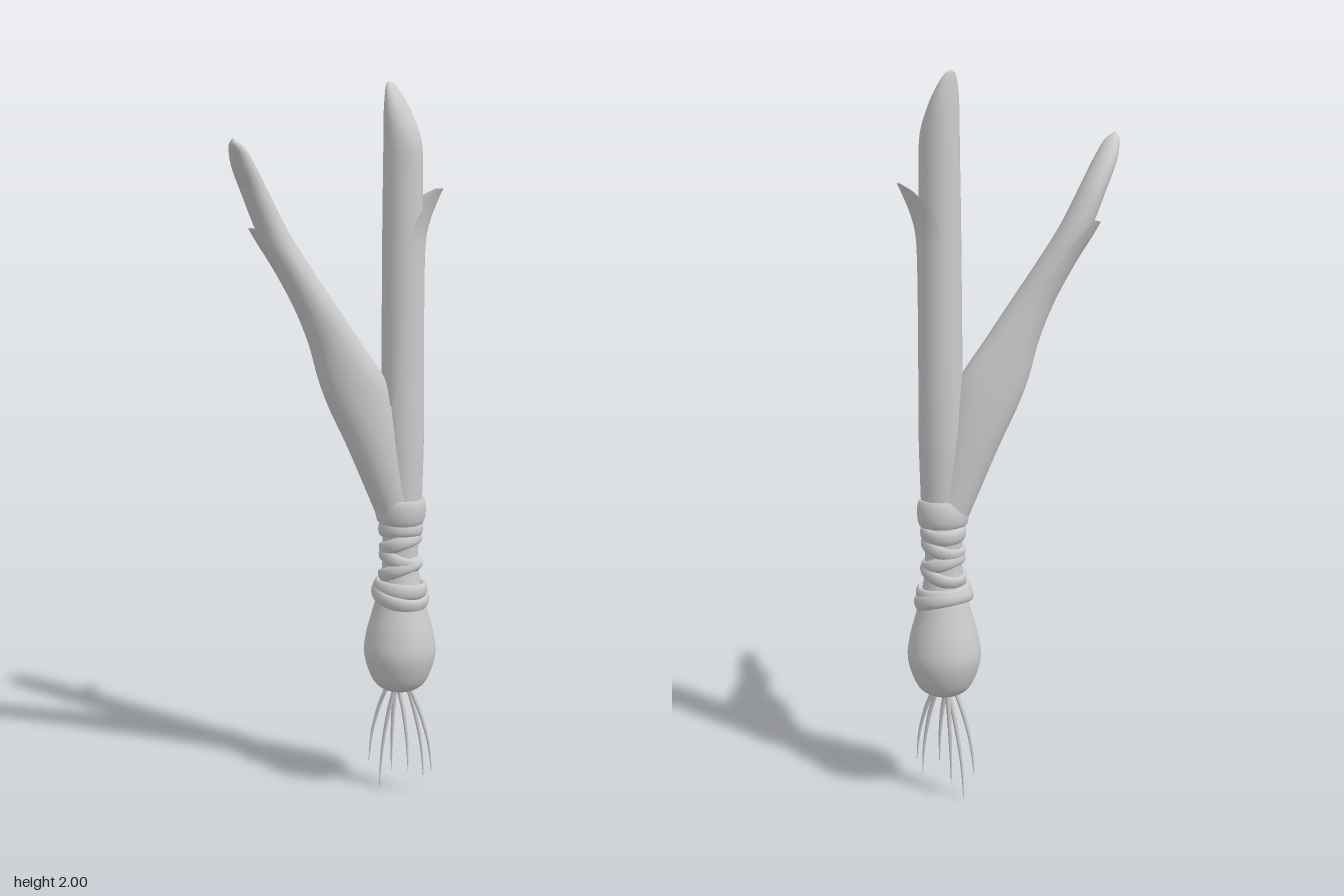
import * as THREE from 'three';

const X = 0.1, Z = -0.16;              // axis of the bulb and upright leaf
const OUT = [-0.68, 0.73];             // horizontal direction of the side leaf
const BACK = [0.68, -0.73];
const grey = new THREE.MeshStandardMaterial({ color: 0xcccccc });
const thin = new THREE.MeshStandardMaterial({ color: 0xcccccc, side: THREE.DoubleSide });

// Smooth loft through horizontal elliptical sections, bottom to top.
// Row: [y, x, z, radius along u, radius across u, half angle (PI = all round)]
function loft(name, rows, u, { steps = 60, sides = 28, open = false } = {}) {
  const spline = (f) => new THREE.CatmullRomCurve3(rows.map(f), false, 'catmullrom', 0.5);
  const centre = spline((r) => new THREE.Vector3(r[1], r[0], r[2]));
  const size = spline((r) => new THREE.Vector3(r[3], r[4], r[5] ?? Math.PI));
  const cols = open ? sides + 1 : sides;
  const pos = [], index = [];
  for (let i = 0; i <= steps; i++) {
    const c = centre.getPoint(i / steps), s = size.getPoint(i / steps);
    const half = Math.min(s.z, Math.PI);
    for (let j = 0; j < cols; j++) {
      const a = -half + (2 * half * j) / sides;
      const p = Math.cos(a) * s.x, q = Math.sin(a) * s.y;
      pos.push(c.x + p * u[0] - q * u[1], c.y, c.z + p * u[1] + q * u[0]);
    }
  }
  for (let i = 0; i < steps; i++) {
    for (let j = 0; j < sides; j++) {
      const a = i * cols + j, b = i * cols + ((j + 1) % cols);
      index.push(a, a + cols, b, b, a + cols, b + cols);
    }
  }
  const g = new THREE.BufferGeometry();
  g.setAttribute('position', new THREE.Float32BufferAttribute(pos, 3));
  g.setIndex(index);
  g.computeVertexNormals();
  const m = new THREE.Mesh(g, open ? thin : grey);
  m.name = name;
  return m;
}

// Flattened band around the neck, tilted about x and z
function band(y, r, h, tiltZ, tiltX) {
  const profile = [];
  for (let i = 0; i <= 12; i++) {
    const a = -Math.PI / 2 + (i / 12) * Math.PI * 2;
    profile.push(new THREE.Vector2(r + 0.011 * Math.cos(a), h * Math.sin(a)));
  }
  const m = new THREE.Mesh(new THREE.LatheGeometry(profile, 36), grey);
  m.name = 'neckWrap';
  m.position.set(X, y, Z);
  m.rotation.set(tiltX, 0, tiltZ);
  return m;
}

export function createModel() {
  const group = new THREE.Group();
  group.name = 'springOnion';

  // Bulb and neck
  const outline = [[0.001, 0.305], [0.045, 0.31], [0.078, 0.34], [0.101, 0.41], [0.095, 0.475],
    [0.075, 0.55], [0.056, 0.63], [0.05, 0.7], [0.053, 0.8], [0.055, 0.88]];
  const curve = new THREE.SplineCurve(outline.map(([r, y]) => new THREE.Vector2(r, y)));
  const bulb = new THREE.Mesh(new THREE.LatheGeometry(curve.getPoints(48), 36), grey);
  bulb.name = 'bulb';
  bulb.position.set(X, 0, Z);
  group.add(bulb);

  // Upright leaf with a slanted tip
  group.add(loft('uprightLeaf', [
    [0.75, X, Z, 0.05, 0.05], [1.0, X, Z, 0.056, 0.056], [1.3, X, Z, 0.056, 0.056],
    [1.6, X, Z, 0.056, 0.054], [1.75, X, Z, 0.055, 0.052], [1.84, 0.098, Z, 0.052, 0.051],
    [1.91, 0.084, Z, 0.037, 0.045], [1.96, 0.07, Z, 0.021, 0.033],
    [1.99, 0.06, Z, 0.009, 0.018], [2.0, 0.056, Z, 0.001, 0.002],
  ], [1, 0]));

  // Side leaf curving out and forward
  group.add(loft('sideLeaf', [
    [0.82, 0.095, -0.155, 0.052, 0.052], [1.0, 0.055, -0.112, 0.075, 0.056],
    [1.12, 0.027, -0.08, 0.09, 0.056], [1.2, 0.008, -0.056, 0.09, 0.055],
    [1.3, -0.022, -0.018, 0.069, 0.051], [1.4, -0.057, 0.025, 0.056, 0.048],
    [1.5, -0.1, 0.068, 0.049, 0.046], [1.6, -0.14, 0.11, 0.043, 0.044],
    [1.7, -0.161, 0.157, 0.037, 0.043], [1.77, -0.165, 0.202, 0.032, 0.039],
    [1.82, -0.16, 0.239, 0.02, 0.027], [1.84, -0.158, 0.257, 0.002, 0.003],
  ], OUT, { steps: 80 }));

  // Outer sheaths, closed at the neck and opening into flaps
  group.add(loft('sideSheath', [
    [0.8, 0.098, -0.158, 0.06, 0.06, Math.PI], [1.0, 0.055, -0.112, 0.083, 0.063, Math.PI],
    [1.12, 0.027, -0.08, 0.097, 0.063, 2.4], [1.2, 0.008, -0.056, 0.097, 0.062, 2.0],
    [1.3, -0.022, -0.018, 0.077, 0.059, 1.75], [1.4, -0.057, 0.025, 0.063, 0.056, 1.65],
    [1.5, -0.1, 0.068, 0.056, 0.056, 1.55], [1.57, -0.134, 0.098, 0.054, 0.059, 1.45],
    [1.61, -0.15, 0.112, 0.056, 0.064, 1.0],
  ], OUT, { open: true }));
  group.add(loft('uprightSheath', [
    [0.8, X, Z, 0.058, 0.058, Math.PI], [1.0, X, Z, 0.063, 0.063, Math.PI],
    [1.1, X, Z, 0.063, 0.063, 2.4], [1.22, X, Z, 0.062, 0.062, 1.9],
    [1.4, X, Z, 0.061, 0.061, 1.65], [1.56, X, Z, 0.063, 0.062, 1.5],
    [1.63, X, Z, 0.076, 0.068, 1.3], [1.69, X, Z, 0.1, 0.08, 0.85], [1.715, X, Z, 0.112, 0.088, 0.4],
  ], BACK, { open: true }));

  // Wraps around the neck: height, radius, half height, tilts
  [[0.83, 0.06, 0.038, -0.08, 0.05], [0.775, 0.052, 0.022, 0.08, -0.1],
    [0.735, 0.052, 0.02, 0.38, 0.1], [0.69, 0.052, 0.02, -0.35, -0.12], [0.66, 0.055, 0.019, 0.4, 0.08],
    [0.605, 0.066, 0.022, -0.06, -0.06], [0.585, 0.072, 0.021, -0.3, 0.06],
  ].forEach((b) => group.add(band(...b)));

  // Roots: start x and z offsets, tip x, y, z
  [[-0.03, 0.01, 0.01, 0.08, -0.14], [-0.012, 0, 0.04, 0, -0.15], [-0.02, -0.012, 0.065, 0.05, -0.175],
    [0.005, 0.015, 0.145, 0.08, -0.135], [0.015, -0.015, 0.17, 0.05, -0.18],
    [0.035, 0.003, 0.205, 0.08, -0.165],
  ].forEach(([dx, dz, tx, ty, tz]) => {
    const sx = X + dx, sz = Z + dz, mid = (f) => ty + (0.32 - ty) * f;
    group.add(loft('root', [
      [ty, tx, tz, 0.001, 0.001],
      [mid(0.35), tx + (sx - tx) * 0.14, tz + (sz - tz) * 0.3, 0.004, 0.004],
      [mid(0.7), tx + (sx - tx) * 0.5, tz + (sz - tz) * 0.7, 0.006, 0.006],
      [0.32, sx, sz, 0.007, 0.007],
    ], [1, 0], { steps: 16, sides: 8 }));
  });
  return group;
}
